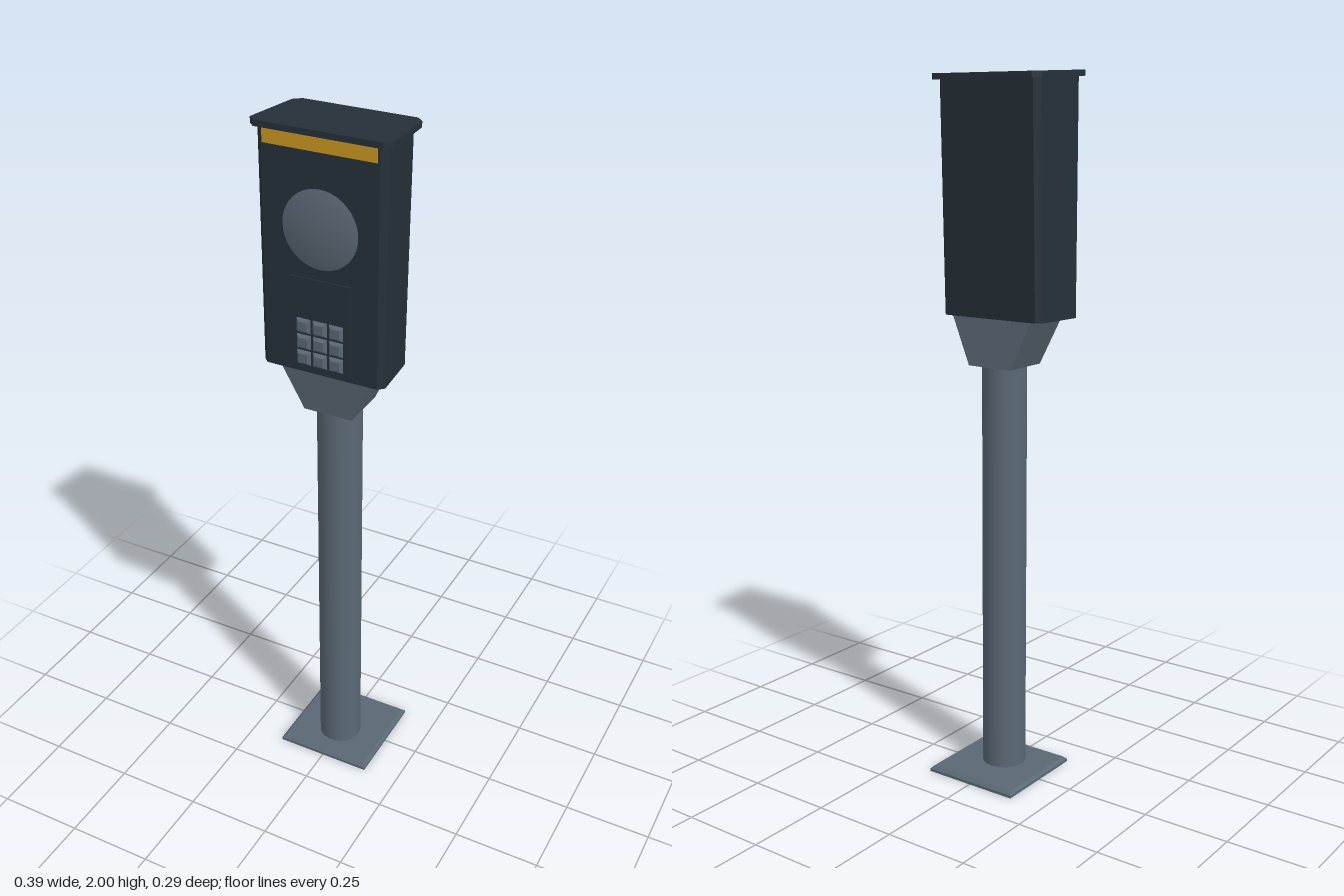
import * as THREE from 'three';

const mat = (name, color) => Object.assign(new THREE.MeshStandardMaterial({ color }), { name });

// Rectangle cross-section, counter-clockwise seen from above
const rect = (hx, zBack, zFront) => [[-hx, zFront], [hx, zFront], [hx, zBack], [-hx, zBack]];

// Tapered plan with chamfered corners; c is the chamfer size
const cabinetPlan = (front, back, zBack, zFront, c) => {
  const right = [[front - c, zFront], [front, zFront - c], [back, zBack + c], [back - c, zBack]];
  return [...right, ...right.map(([x, z]) => [-x, z]).reverse()];
};

// Flat-sided solid through stacked sections [points, y], where y may depend on z
function loft(sections) {
  const rings = sections.map(([pts, y]) =>
    pts.map(([x, z]) => [x, typeof y === 'function' ? y(z) : y, z]));
  const pos = [];
  const tri = (...p) => p.forEach((v) => pos.push(...v));
  const n = rings[0].length;
  for (let r = 0; r + 1 < rings.length; r++) {
    for (let i = 0; i < n; i++) {
      const j = (i + 1) % n, a = rings[r], b = rings[r + 1];
      tri(a[i], a[j], b[j]);
      tri(a[i], b[j], b[i]);
    }
  }
  const bottom = rings[0], top = rings[rings.length - 1];
  for (let i = 1; i + 1 < n; i++) {
    tri(top[0], top[i], top[i + 1]);
    tri(bottom[0], bottom[i + 1], bottom[i]);
  }
  const g = new THREE.BufferGeometry();
  g.setAttribute('position', new THREE.Float32BufferAttribute(pos, 3));
  g.computeVertexNormals();
  return g;
}

export function createModel() {
  const model = new THREE.Group();
  model.name = 'postTerminal';
  const dark = mat('darkCasing', 0x253038);
  const steel = mat('greySteel', 0x5a6875);
  const amber = mat('amberStrip', 0xc9981f);

  const add = (name, geometry, material, x = 0, y = 0, z = 0) => {
    const m = new THREE.Mesh(geometry, material);
    m.name = name;
    m.position.set(x, y, z);
    model.add(m);
    return m;
  };

  // Foot plate with a bevelled top edge
  add('basePlate', loft([
    [rect(0.145, -0.145, 0.145), 0],
    [rect(0.145, -0.145, 0.145), 0.008],
    [rect(0.137, -0.137, 0.137), 0.016],
  ]), steel);

  // Round post, set slightly forward
  add('post', new THREE.CylinderGeometry(0.063, 0.063, 1.2, 32), steel, 0, 0.61, 0.026);

  // Flared neck under the cabinet
  add('neck', loft([
    [rect(0.071, -0.045, 0.096), 1.205],
    [rect(0.133, -0.037, 0.113), 1.342],
  ]), steel);

  // Cabinet, leaning back towards the top
  add('cabinet', loft([
    [cabinetPlan(0.178, 0.166, -0.043, 0.129, 0.016), 1.34],
    [cabinetPlan(0.178, 0.166, -0.06, 0.129, 0.016), 1.988],
  ]), dark);

  // Overhanging lid, sloping down to the back
  const lidPlan = cabinetPlan(0.194, 0.18, -0.08, 0.141, 0.02);
  const slope = (y) => (z) => y - (0.141 - z) * 0.04;
  add('lid', loft([[lidPlan, slope(1.984)], [lidPlan, slope(2)]]), dark);

  // Amber strip below the lid
  add('amberStrip', new THREE.BoxGeometry(0.312, 0.043, 0.006), amber, 0, 1.966, 0.13);

  // Shallow domed disc
  const R = 0.439;
  const cap = new THREE.SphereGeometry(R, 40, 6, 0, Math.PI * 2, 0, Math.asin(0.11 / R));
  cap.rotateX(Math.PI / 2);
  add('dome', cap, steel, 0, 1.745, 0.142 - R);

  // Keypad panel with bevelled keys
  add('keypadPanel', new THREE.BoxGeometry(0.176, 0.256, 0.008), dark, 0, 1.483, 0.13);
  const key = loft([
    [rect(0.02, -0.02, 0.02), 0],
    [rect(0.02, -0.02, 0.02), 0.004],
    [rect(0.013, -0.013, 0.013), 0.011],
  ]);
  key.rotateX(Math.PI / 2);
  for (let row = -1; row <= 1; row++) {
    for (let col = -1; col <= 1; col++) {
      add('key', key, steel, col * 0.047, 1.431 + row * 0.046, 0.132);
    }
  }
  return model;
}
